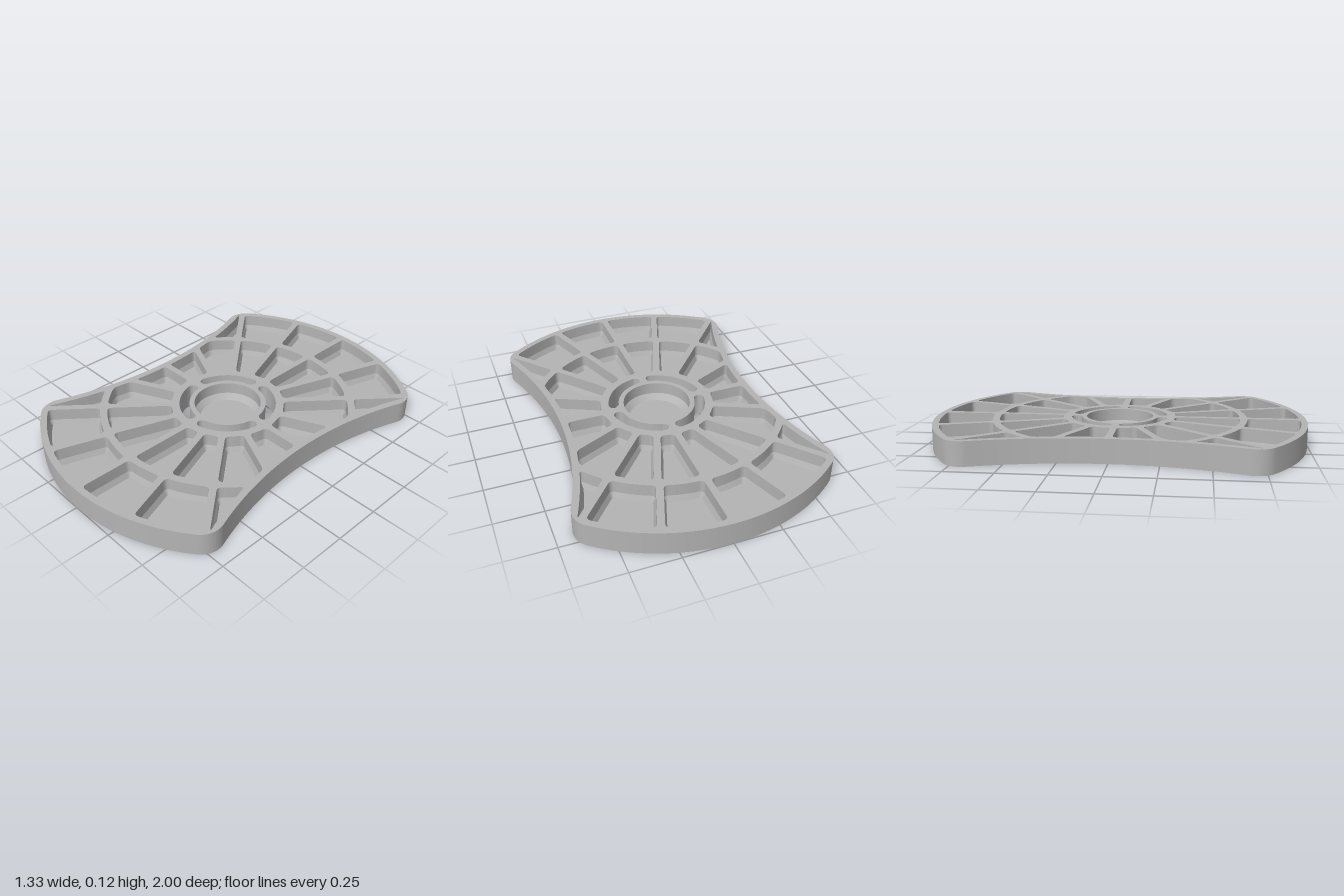
import * as THREE from 'three';
import { toCreasedNormals } from 'three/addons/utils/BufferGeometryUtils.js';

const HEIGHT = 0.125, FLOOR = 0.03, CHAMFER_TOP = 0.06;
const RIB = 0.018;                        // half width of a rib
const SIDE_X = 2.44, SIDE_R = 1.9;        // concave side arc
const RIM = 0.035;
const rad = THREE.MathUtils.degToRad;
const V = (x, y) => new THREE.Vector2(x, y);

// inner edge of the rim along the concave side
const sideX = y => SIDE_X - Math.sqrt((SIDE_R + RIM) ** 2 - y * y);

// point on the edge of a rib: side -1 or +1, at distance r from the centre
function ribPoint(r, deg, side) {
  const a = rad(deg), t = Math.sqrt(r * r - RIB * RIB);
  return V(Math.sin(a) * t + Math.cos(a) * RIB * side, Math.cos(a) * t - Math.sin(a) * RIB * side);
}
// where a rib edge meets the side rim
function ribAtSide(deg, side) {
  const a = rad(deg);
  let y = 0.4;
  for (let i = 0; i < 40; i++) {
    const t = (sideX(y) - Math.cos(a) * RIB * side) / Math.sin(a);
    y = Math.cos(a) * t - Math.sin(a) * RIB * side;
  }
  return V(sideX(y), y);
}
// where a ring rib meets the side rim
function ringAtSide(r) {
  let y = 0.4;
  for (let i = 0; i < 40; i++) y = Math.sqrt(r * r - sideX(y) ** 2);
  return V(sideX(y), y);
}

// closed loop with rounded corners; each entry is [corner, kind of edge to the next corner]
function roundedLoop(corners, round = 0.025) {
  const edges = corners.map(([p, kind], i) => {
    const q = corners[(i + 1) % corners.length][0], pts = [];
    const cut = Math.min(round / p.distanceTo(q), 0.4);
    for (let k = 0; k <= 10; k++) {
      const t = cut + (1 - 2 * cut) * k / 10;
      const s = p.clone().lerp(q, t);
      if (kind === 'arc') s.setLength(p.length() * (1 - t) + q.length() * t);
      if (kind === 'side') s.x = sideX(s.y);
      if (kind !== 'line' || k === 0 || k === 10) pts.push(s);
    }
    return pts;
  });
  return edges.flatMap((pts, i) => {
    const next = edges[(i + 1) % edges.length];
    const corner = corners[(i + 1) % corners.length][0];
    const bend = new THREE.QuadraticBezierCurve(pts[pts.length - 1], corner, next[0]);
    return [...pts, ...bend.getPoints(6).slice(1, -1)];
  });
}

// pocket between two ribs and two rings
const sector = (a, b, r0, r1) => roundedLoop([
  [ribPoint(r0, a, 1), 'line'], [ribPoint(r1, a, 1), 'arc'],
  [ribPoint(r1, b, -1), 'line'], [ribPoint(r0, b, -1), 'arc']]);

function quadrantPockets() {
  const r0 = 0.305, r1 = 0.65, r2 = 0.688, r3 = 0.966;
  const a1 = 20, a2 = 40.5, a3 = 65;
  return [
    sector(0, a1, r0, r1), sector(a1, a2, r0, r1),
    sector(0, a1 - 0.8, r2, r3), sector(a1 - 0.8, a2, r2, r3),
    roundedLoop([[ribPoint(r0, a2, 1), 'line'], [ribPoint(r1, a2, 1), 'arc'],
      [ringAtSide(r1), 'side'], [ribAtSide(a3, -1), 'line'], [ribPoint(r0, a3, -1), 'arc']]),
    roundedLoop([[ribPoint(r0, a3, 1), 'line'], [ribAtSide(a3, 1), 'side'],
      [ribAtSide(90, -1), 'line'], [ribPoint(r0, 90, -1), 'arc']]),
    roundedLoop([[ribPoint(r2, a2, 1), 'line'], [ribAtSide(a2, 1), 'side'],
      [ringAtSide(r2), 'arc']]),
  ];
}

// outline: two convex ends, two concave sides, four rounded corners
function outline() {
  const r = 0.11, cx = 0.5544, cy = 0.6962, PI = Math.PI;
  const a = Math.atan2(cy, cx), b = Math.atan2(cy, cx - SIDE_X);
  const s = new THREE.Shape();
  s.absarc(SIDE_X, 0, SIDE_R, 2 * PI - b, b, true);
  s.absarc(cx, cy, r, b - PI, a, false);
  s.absarc(0, 0, 1, a, PI - a, false);
  s.absarc(-cx, cy, r, PI - a, 2 * PI - b, false);
  s.absarc(-SIDE_X, 0, SIDE_R, PI - b, b - PI, true);
  s.absarc(-cx, -cy, r, b, PI + a, false);
  s.absarc(0, 0, 1, PI + a, 2 * PI - a, false);
  s.absarc(cx, -cy, r, -a, PI - b, false);
  return s;
}

// curved through slot with round ends, one per quadrant
function slot(quarter) {
  const r0 = 0.207, r1 = 0.262, m = (r0 + r1) / 2, w = (r1 - r0) / 2;
  const gap = 0.204, a = quarter * Math.PI / 2 + gap, b = (quarter + 1) * Math.PI / 2 - gap;
  const p = new THREE.Path();
  p.absarc(0, 0, r1, a, b, false);
  p.absarc(Math.cos(b) * m, Math.sin(b) * m, w, b, b + Math.PI, false);
  p.absarc(0, 0, r0, b, a, true);
  p.absarc(Math.cos(a) * m, Math.sin(a) * m, w, a + Math.PI, a + 2 * Math.PI, false);
  return p;
}

// sloping band around the foot of a pocket wall
function chamfer(loop, inset) {
  const pts = THREE.ShapeUtils.isClockWise(loop) ? [...loop].reverse() : loop;
  const n = pts.length, pos = [], index = [];
  pts.forEach((p, i) => {
    const t = pts[(i + 1) % n].clone().sub(pts[(i + n - 1) % n]).normalize();
    pos.push(p.x, p.y, CHAMFER_TOP, p.x - t.y * inset, p.y + t.x * inset, FLOOR);
    const o = 2 * i, q = 2 * ((i + 1) % n);
    index.push(o, q, q + 1, o, q + 1, o + 1);
  });
  const g = new THREE.BufferGeometry();
  g.setAttribute('position', new THREE.Float32BufferAttribute(pos, 3));
  g.setIndex(index);
  g.computeVertexNormals();
  return g.rotateX(-Math.PI / 2);
}

export function createModel() {
  const group = new THREE.Group();
  const grey = new THREE.MeshStandardMaterial({ color: 0xb4b4b4 });
  grey.name = 'grey';
  const add = (name, geometry) => {
    const mesh = new THREE.Mesh(geometry, grey);
    mesh.name = name;
    group.add(mesh);
  };
  const slab = (shape, y, depth) => toCreasedNormals(
    new THREE.ExtrudeGeometry(shape, { depth, bevelEnabled: false, curveSegments: 28 })
      .rotateX(-Math.PI / 2).translate(0, y, 0), 0.5);

  // pockets mirrored into all four quadrants
  const pockets = [];
  for (const sx of [1, -1]) for (const sy of [1, -1])
    for (const loop of quadrantPockets()) pockets.push(loop.map(p => V(p.x * sx, p.y * sy)));
  const slots = [0, 1, 2, 3].map(slot);
  const cup = new THREE.Path().absarc(0, 0, 0.18, 0, Math.PI * 2, false).getPoints(48).slice(0, -1);

  // closed bottom plate
  const plate = outline();
  plate.holes.push(...slots);
  add('bottomPlate', slab(plate, 0, FLOOR));

  // rim, ribs and hub
  const frame = outline();
  frame.holes.push(...slots, new THREE.Path(cup), ...pockets.map(p => new THREE.Path(p)));
  add('ribFrame', slab(frame, FLOOR, HEIGHT - FLOOR));

  // sloping feet of the walls
  pockets.forEach(p => add('pocketChamfer', chamfer(p, 0.013)));
  add('hubChamfer', chamfer(cup, 0.03));
  return group;
}
